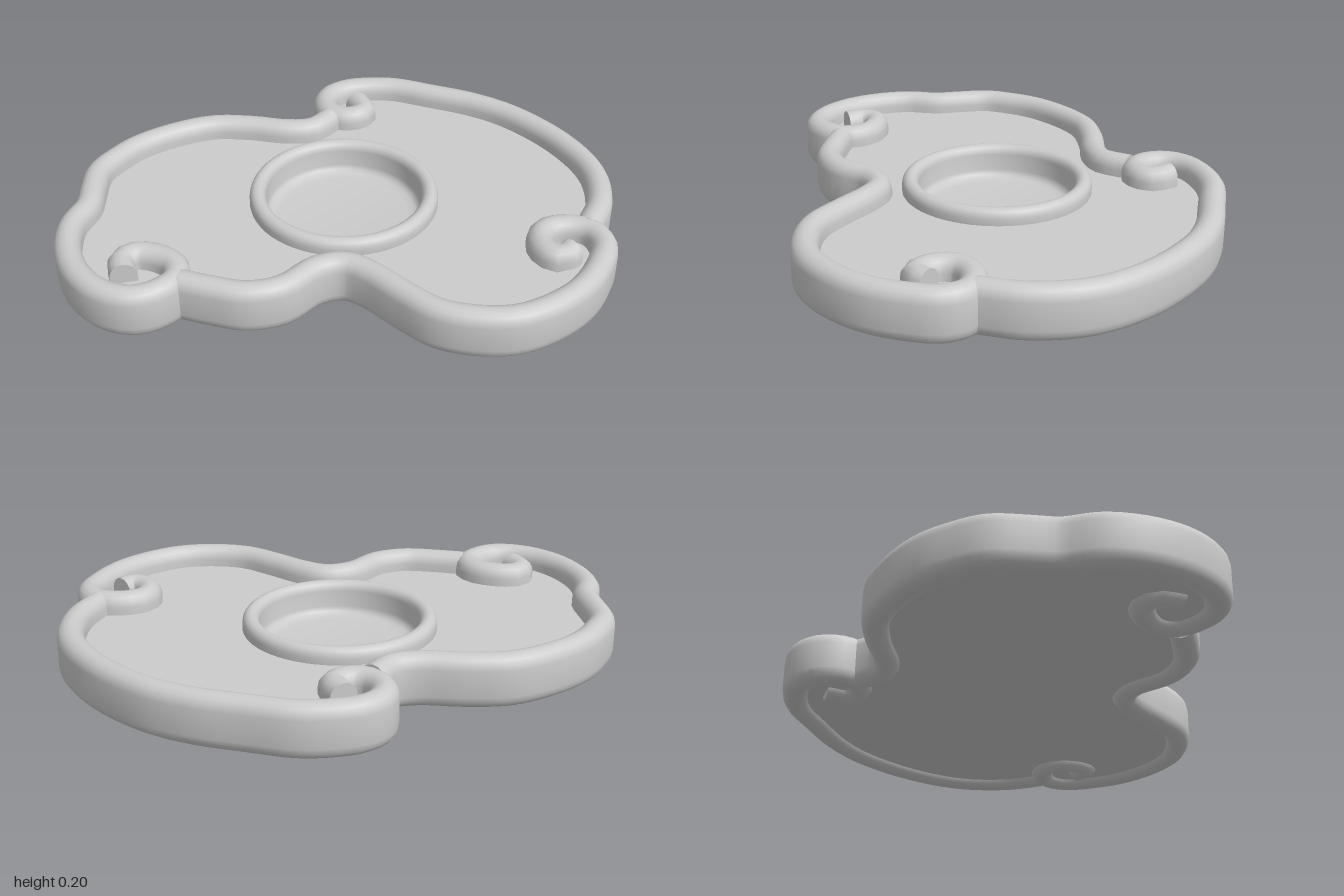
import * as THREE from 'three';
import { toCreasedNormals } from 'three/addons/utils/BufferGeometryUtils.js';

const material = new THREE.MeshStandardMaterial({ color: 0xcccccc });
const HEIGHT = 0.2, HALF = 0.05;
const PLATE_TOP = 0.12, PLATE_BOTTOM = 0.03;
const CENTRE = [0.06, -0.08];

// Rim centrelines as [x, z]: the outer run of each lobe, then the curl that ends it
const lobes = [
  {
    name: 'backLobe',
    run: [[0.46, -0.45], [0.35, -0.46], [0.28, -0.53], [0.21, -0.67], [0.12, -0.8], [-0.02, -0.89],
      [-0.18, -0.945], [-0.3, -0.95], [-0.41, -0.935], [-0.52, -0.86], [-0.6, -0.8], [-0.72, -0.76],
      [-0.83, -0.67], [-0.91, -0.54], [-0.935, -0.4], [-0.9, -0.29], [-0.83, -0.24]],
    curl: [[-0.73, -0.23], [-0.67, -0.29], [-0.67, -0.38], [-0.71, -0.45], [-0.77, -0.455], [-0.82, -0.395]],
  },
  {
    name: 'frontLobe',
    run: [[-0.73, -0.21], [-0.69, -0.09], [-0.64, 0.02], [-0.54, 0.1], [-0.38, 0.13], [-0.3, 0.2],
      [-0.29, 0.3], [-0.31, 0.45], [-0.32, 0.6], [-0.28, 0.72], [-0.19, 0.84], [-0.05, 0.915],
      [0.1, 0.945], [0.24, 0.93], [0.35, 0.89]],
    curl: [[0.4, 0.81], [0.37, 0.72], [0.3, 0.67], [0.23, 0.69], [0.19, 0.75], [0.2, 0.8], [0.255, 0.81]],
  },
  {
    name: 'leftLobe',
    run: [[0.41, 0.79], [0.58, 0.75], [0.75, 0.63], [0.87, 0.42], [0.93, 0.15], [0.92, -0.03],
      [0.87, -0.22], [0.82, -0.38], [0.75, -0.48], [0.68, -0.54], [0.6, -0.56], [0.53, -0.53]],
    curl: [[0.49, -0.46], [0.51, -0.39], [0.58, -0.365], [0.635, -0.44]],
  },
];

const curveOf = (points) =>
  new THREE.CatmullRomCurve3(points.map(([x, z]) => new THREE.Vector3(x, 0, z)), false, 'centripetal');

// Upright bar section with rounded top and bottom, counter-clockwise
function barProfile(arcSteps = 8) {
  const points = [];
  for (const [cy, start] of [[HEIGHT - HALF, 0], [HALF, Math.PI]]) {
    for (let i = 0; i <= arcSteps; i++) {
      const a = start + (i / arcSteps) * Math.PI;
      points.push([HALF * Math.cos(a), cy + HALF * Math.sin(a)]);
    }
  }
  return points;
}

// Sweep the bar section along a flat curve, with both ends capped
function sweepBar(curve, steps) {
  const profile = barProfile(), m = profile.length;
  const positions = [], index = [];
  for (let i = 0; i <= steps; i++) {
    const p = curve.getPointAt(i / steps), t = curve.getTangentAt(i / steps);
    for (const [n, y] of profile) positions.push(p.x + t.z * n, y, p.z - t.x * n);
  }
  for (let i = 0; i < steps; i++) {
    for (let j = 0; j < m; j++) {
      const a = i * m + j, b = i * m + (j + 1) % m;
      index.push(a, b, a + m, b, b + m, a + m);
    }
  }
  const last = steps * m;
  for (let j = 1; j < m - 1; j++) {
    index.push(0, j + 1, j);
    index.push(last, last + j, last + j + 1);
  }
  const geometry = new THREE.BufferGeometry();
  geometry.setAttribute('position', new THREE.Float32BufferAttribute(positions, 3));
  geometry.setIndex(index);
  return toCreasedNormals(geometry, 0.9);
}

function addMesh(group, name, geometry) {
  const mesh = new THREE.Mesh(geometry, material);
  mesh.name = name;
  group.add(mesh);
  return mesh;
}

export function createModel() {
  const group = new THREE.Group();
  group.name = 'threeLobedTray';

  // Raised rims, each ending in an inward curl
  for (const { name, run, curl } of lobes) {
    addMesh(group, `${name}Rim`, sweepBar(curveOf([...run, ...curl]), 72));
  }

  // Floor plate bounded by the rim centrelines, open where the cup sits
  const outline = lobes.flatMap(({ run, curl }) =>
    curveOf([...run, curl[0]]).getSpacedPoints(40).map((p) => new THREE.Vector2(p.x, p.z)));
  const shape = new THREE.Shape(outline);
  shape.holes.push(new THREE.Path().absarc(...CENTRE, 0.33, 0, Math.PI * 2, true));
  const plate = new THREE.ExtrudeGeometry(shape, {
    depth: PLATE_TOP - PLATE_BOTTOM, bevelEnabled: false, curveSegments: 48,
  });
  plate.rotateX(Math.PI / 2).translate(0, PLATE_TOP, 0);
  addMesh(group, 'floorPlate', plate);

  // Round cup: sunken floor, filleted wall and rounded lip, closed underneath
  const profile = [[0, PLATE_BOTTOM], [0.34, PLATE_BOTTOM], [0.365, 0.06], [0.365, 0.145]];
  for (let i = 1; i <= 8; i++) {
    const a = (i / 8) * Math.PI;
    profile.push([0.333 + 0.032 * Math.cos(a), 0.145 + 0.035 * Math.sin(a)]);
  }
  profile.push([0.301, 0.08], [0.295, 0.062], [0.28, 0.052], [0.25, 0.048], [0, 0.048]);
  const cup = new THREE.LatheGeometry(profile.map(([r, y]) => new THREE.Vector2(r, y)), 64);
  cup.translate(CENTRE[0], 0, CENTRE[1]);
  addMesh(group, 'centreCup', toCreasedNormals(cup, 0.8));

  return group;
}
